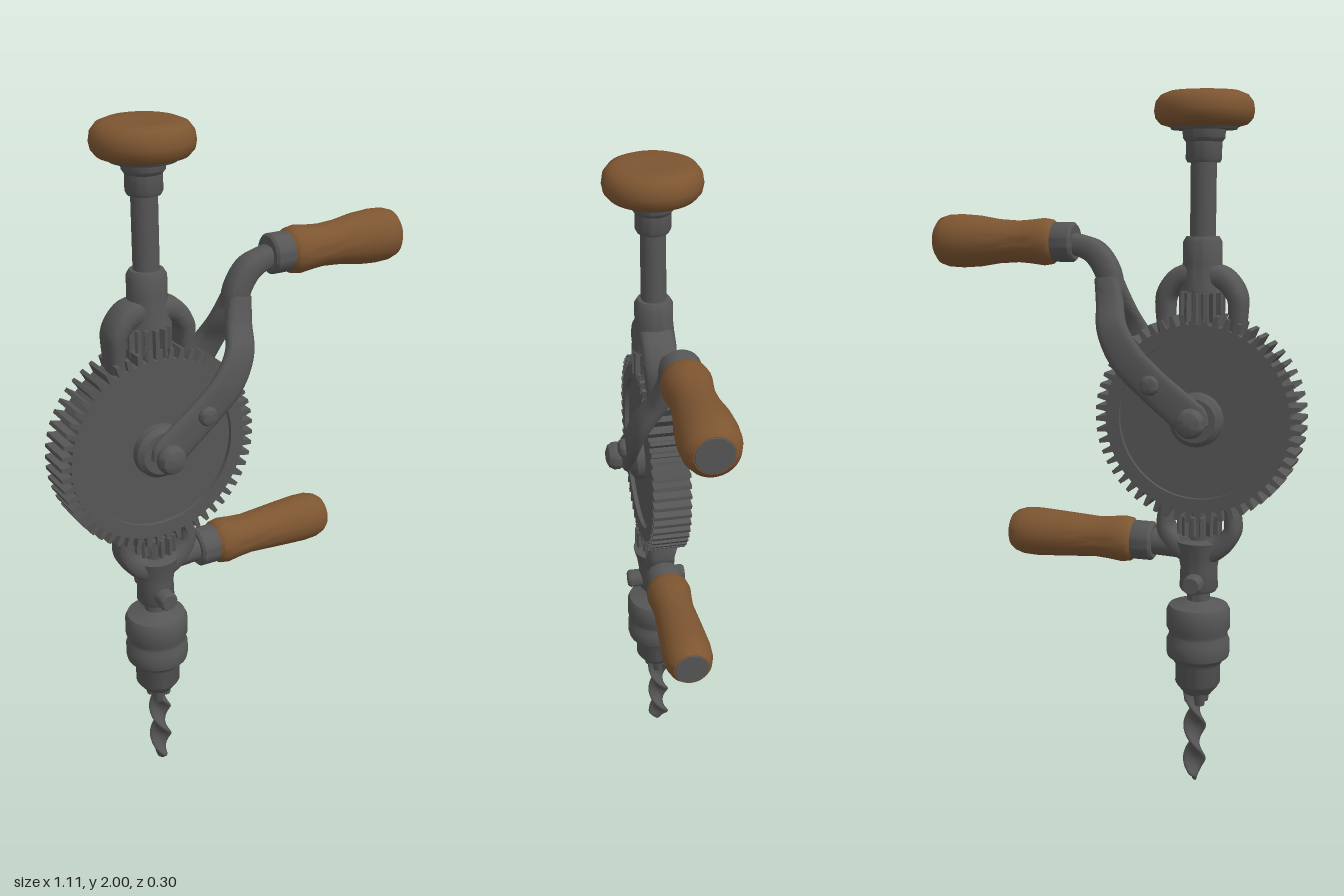
import * as THREE from 'three';
import { toCreasedNormals } from 'three/addons/utils/BufferGeometryUtils.js';

const steel = new THREE.MeshStandardMaterial({ color: 0x565656 });
steel.name = 'dark steel';
const wood = new THREE.MeshStandardMaterial({ color: 0x7d5531 });
wood.name = 'brown wood';

const AXIS = -0.26; // x of the drill's spindle
const HUB_Y = 1.1;  // height of the gear centre

function part(parent, name, geometry, material, x = 0, y = 0, z = 0) {
  const mesh = new THREE.Mesh(geometry, material);
  mesh.name = name;
  mesh.position.set(x, y, z);
  parent.add(mesh);
  return mesh;
}

// Turned solid from [radius, height] pairs, listed bottom to top
function turned(profile, segments = 40) {
  const pts = profile.map(([r, h]) => new THREE.Vector2(r, h));
  return toCreasedNormals(new THREE.LatheGeometry(pts, segments), 0.6);
}

// Rounded bar swept along points [x, y, z, width in the xy plane, thickness]
function sweptBar(stations, steps = 32, sides = 16) {
  const path = new THREE.CatmullRomCurve3(stations.map(s => new THREE.Vector3(s[0], s[1], s[2])));
  const sizes = new THREE.CatmullRomCurve3(stations.map(s => new THREE.Vector3(s[3], s[4], 0)));
  const pos = [], index = [];
  const round = v => Math.sign(v) * Math.abs(v) ** 0.65;
  for (let i = 0; i <= steps; i++) {
    const t = i / steps, c = path.getPoint(t), s = sizes.getPoint(t);
    const along = path.getTangent(t);
    const side = new THREE.Vector3(0, 0, 1).cross(along).normalize();
    const up = along.clone().cross(side);
    for (let j = 0; j < sides; j++) {
      const a = j / sides * Math.PI * 2;
      const p = c.clone().addScaledVector(side, round(Math.cos(a)) * s.x / 2)
        .addScaledVector(up, round(Math.sin(a)) * s.y / 2);
      pos.push(p.x, p.y, p.z);
      if (i < steps) {
        const k = i * sides + j, n = i * sides + (j + 1) % sides;
        index.push(k, n, k + sides, n, n + sides, k + sides);
      }
    }
  }
  for (let j = 1; j < sides - 1; j++) {
    const e = steps * sides;
    index.push(0, j + 1, j, e, e + j, e + j + 1);
  }
  const g = new THREE.BufferGeometry();
  g.setAttribute('position', new THREE.Float32BufferAttribute(pos, 3));
  g.setIndex(index);
  return toCreasedNormals(g, 0.8);
}

// Toothed disc, centred on z
function toothed(teeth, root, tip, depth, hole = 0) {
  const shape = new THREE.Shape();
  const pitch = Math.PI * 2 / teeth;
  for (let i = 0; i < teeth; i++) {
    [[0, root], [0.4, root], [0.52, tip], [0.85, tip]].forEach(([f, r], k) => {
      const a = (i + f) * pitch;
      shape[i + k ? 'lineTo' : 'moveTo'](Math.cos(a) * r, Math.sin(a) * r);
    });
  }
  shape.closePath();
  if (hole) shape.holes.push(new THREE.Path().absarc(0, 0, hole, 0, Math.PI * 2, true));
  return new THREE.ExtrudeGeometry(shape, { depth, bevelEnabled: false, curveSegments: 48 })
    .translate(0, 0, -depth / 2);
}

// Wooden grip with steel ferrule and end cap, pointing along +x
function grip(name, x, y, length, fat) {
  const group = new THREE.Group();
  group.name = name;
  group.position.set(x, y, 0);
  const lay = g => g.rotateZ(-Math.PI / 2);
  const L = length;
  part(group, 'ferrule', lay(turned([[0, -0.055], [0.05, -0.055], [0.057, -0.048], [0.057, 0.005], [0.05, 0.02], [0, 0.02]])), steel);
  part(group, 'woodenGrip', lay(turned([[0, 0], [0.05, 0], [0.064, 0.015], [0.068, 0.04], [0.063, 0.08],
    [0.06, 0.12], [0.064, 0.18], [fat - 0.004, 0.24], [fat, L - 0.08], [fat - 0.002, L - 0.04],
    [fat - 0.01, L - 0.015], [0.052, L - 0.002], [0, L - 0.002]])), wood);
  part(group, 'endCap', lay(turned([[0, L - 0.005], [0.052, L - 0.005], [0.048, L], [0, L]])), steel);
  return group;
}

export function createModel() {
  const drill = new THREE.Group();
  drill.name = 'handDrill';

  // Top knob and upper spindle
  part(drill, 'topKnob', turned([[0, 1.905], [0.095, 1.905], [0.12, 1.912], [0.134, 1.928], [0.138, 1.948],
    [0.134, 1.972], [0.12, 1.99], [0.095, 2], [0.05, 1.996], [0, 1.993]], 48), wood, AXIS);
  part(drill, 'knobPlate', turned([[0, 1.898], [0.09, 1.898], [0.095, 1.906], [0, 1.906]]), steel, AXIS);
  part(drill, 'knobFerrule', turned([[0, 1.81], [0.045, 1.81], [0.05, 1.82], [0.05, 1.865], [0.058, 1.875], [0.06, 1.9], [0, 1.9]]), steel, AXIS);
  part(drill, 'upperShaft', new THREE.CylinderGeometry(0.036, 0.036, 0.25, 32), steel, AXIS, 1.7);
  part(drill, 'upperCollar', turned([[0, 1.46], [0.065, 1.46], [0.058, 1.51], [0.055, 1.54], [0.055, 1.595], [0.046, 1.61], [0, 1.61]]), steel, AXIS);

  // Forked frame above and below the gear
  for (const s of [-1, 1]) {
    part(drill, 'upperForkLeg', sweptBar([[AXIS, 1.5, 0, 0.08, 0.1], [AXIS + s * 0.06, 1.495, 0, 0.065, 0.1],
      [AXIS + s * 0.1, 1.45, 0, 0.055, 0.1], [AXIS + s * 0.105, 1.4, 0, 0.05, 0.09], [AXIS + s * 0.1, 1.34, 0, 0.045, 0.08]]), steel);
    part(drill, 'lowerForkLeg', sweptBar([[AXIS, 0.7, 0, 0.08, 0.09], [AXIS + s * 0.06, 0.725, 0, 0.065, 0.09],
      [AXIS + s * 0.098, 0.77, 0, 0.05, 0.085], [AXIS + s * 0.1, 0.81, 0, 0.045, 0.08], [AXIS + s * 0.095, 0.86, 0, 0.04, 0.075]]), steel);
  }

  // Pinions meshing with the big gear
  for (const [name, y, h] of [['upperPinion', 1.415, 0.08], ['lowerPinion', 0.79, 0.055]]) {
    part(drill, name, toothed(14, 0.048, 0.065, h).rotateX(Math.PI / 2), steel, AXIS, y);
    part(drill, name + 'Shaft', new THREE.CylinderGeometry(0.04, 0.04, 0.14, 24), steel, AXIS, y);
  }

  // Main gear
  const gear = new THREE.Group();
  gear.name = 'mainGear';
  gear.position.set(AXIS, HUB_Y, 0);
  drill.add(gear);
  part(gear, 'toothedRim', toothed(56, 0.268, 0.298, 0.11, 0.228), steel);
  const alongZ = g => g.rotateX(Math.PI / 2);
  part(gear, 'gearWeb', alongZ(new THREE.CylinderGeometry(0.24, 0.24, 0.084, 64)), steel);
  part(gear, 'gearHub', alongZ(turned([[0, -0.078], [0.062, -0.078], [0.076, -0.065], [0.08, 0],
    [0.076, 0.065], [0.062, 0.078], [0, 0.078]])), steel);

  // Forked crank, with pin and rivet on each side
  const dome = (r, h) => turned([[0, 0], [r * 0.85, 0], [r, h * 0.25], [r, h * 0.55], [r * 0.8, h * 0.85], [r * 0.4, h], [0, h]], 28);
  for (const s of [-1, 1]) {
    part(drill, 'crankArm', sweptBar([[-0.285, 1.075, s * 0.092, 0.06, 0.026], [-0.255, 1.105, s * 0.092, 0.105, 0.028],
      [-0.14, 1.2, s * 0.094, 0.1, 0.03], [-0.065, 1.275, s * 0.096, 0.1, 0.032], [-0.02, 1.35, s * 0.08, 0.09, 0.04],
      [0.0, 1.42, s * 0.04, 0.08, 0.045], [0.018, 1.49, s * 0.012, 0.07, 0.05]], 48), steel);
    part(drill, 'axlePin', dome(0.042, 0.05).rotateX(s * Math.PI / 2), steel, AXIS, HUB_Y, s * 0.1);
    part(drill, 'crankRivet', dome(0.028, 0.028).rotateX(s * Math.PI / 2), steel, -0.14, 1.2, s * 0.102);
  }
  part(drill, 'crankNeck', sweptBar([[0.005, 1.45, 0, 0.07, 0.07], [0.02, 1.51, 0, 0.072, 0.076],
    [0.055, 1.56, 0, 0.07, 0.076], [0.1, 1.58, 0, 0.064, 0.07], [0.15, 1.587, 0, 0.066, 0.07]]), steel);
  drill.add(grip('crankHandle', 0.172, 1.59, 0.378, 0.078));

  // Side handle
  part(drill, 'sideArm', new THREE.CylinderGeometry(0.038, 0.045, 0.18, 28).rotateZ(-Math.PI / 2), steel, -0.18, 0.725);
  drill.add(grip('sideHandle', -0.07, 0.725, 0.39, 0.072));

  // Lower body with cross pin
  part(drill, 'lowerBody', turned([[0, 0.59], [0.05, 0.59], [0.056, 0.6], [0.054, 0.66], [0.06, 0.7], [0.07, 0.74], [0, 0.755]]), steel, AXIS);
  part(drill, 'crossPin', alongZ(turned([[0, -0.092], [0.023, -0.092], [0.028, -0.084], [0.028, 0.084], [0.023, 0.092], [0, 0.092]], 24)), steel, AXIS, 0.624);

  // Chuck
  part(drill, 'chuck', turned([[0, 0.275], [0.04, 0.275], [0.06, 0.3], [0.066, 0.31], [0.066, 0.365], [0.075, 0.38],
    [0.09, 0.392], [0.093, 0.405], [0.093, 0.44], [0.086, 0.455], [0.086, 0.465], [0.093, 0.48], [0.093, 0.53],
    [0.086, 0.545], [0.05, 0.555], [0.034, 0.562], [0.034, 0.595], [0, 0.595]], 48), steel, AXIS);
  for (let i = 0; i < 3; i++) {
    const a = i * Math.PI * 2 / 3;
    part(drill, 'chuckJaw', new THREE.CylinderGeometry(0.022, 0.014, 0.05, 12), steel,
      AXIS + Math.cos(a) * 0.025, 0.268, Math.sin(a) * 0.025);
  }

  // Twist bit: flattened rod, turned along its length and tapered at the tip
  const bit = new THREE.CylinderGeometry(1, 1, 0.29, 20, 48);
  const p = bit.attributes.position;
  for (let i = 0; i < p.count; i++) {
    const y = p.getY(i) + 0.145;
    const taper = Math.min(1, 0.3 + y / 0.035);
    const x = p.getX(i) * 0.034 * taper, z = p.getZ(i) * 0.015 * taper;
    const a = y * 30 + 0.9;
    p.setXYZ(i, x * Math.cos(a) - z * Math.sin(a), y, x * Math.sin(a) + z * Math.cos(a));
  }
  bit.computeVertexNormals();
  part(drill, 'twistBit', bit, steel, AXIS + 0.006, 0, -0.004);

  return drill;
}
